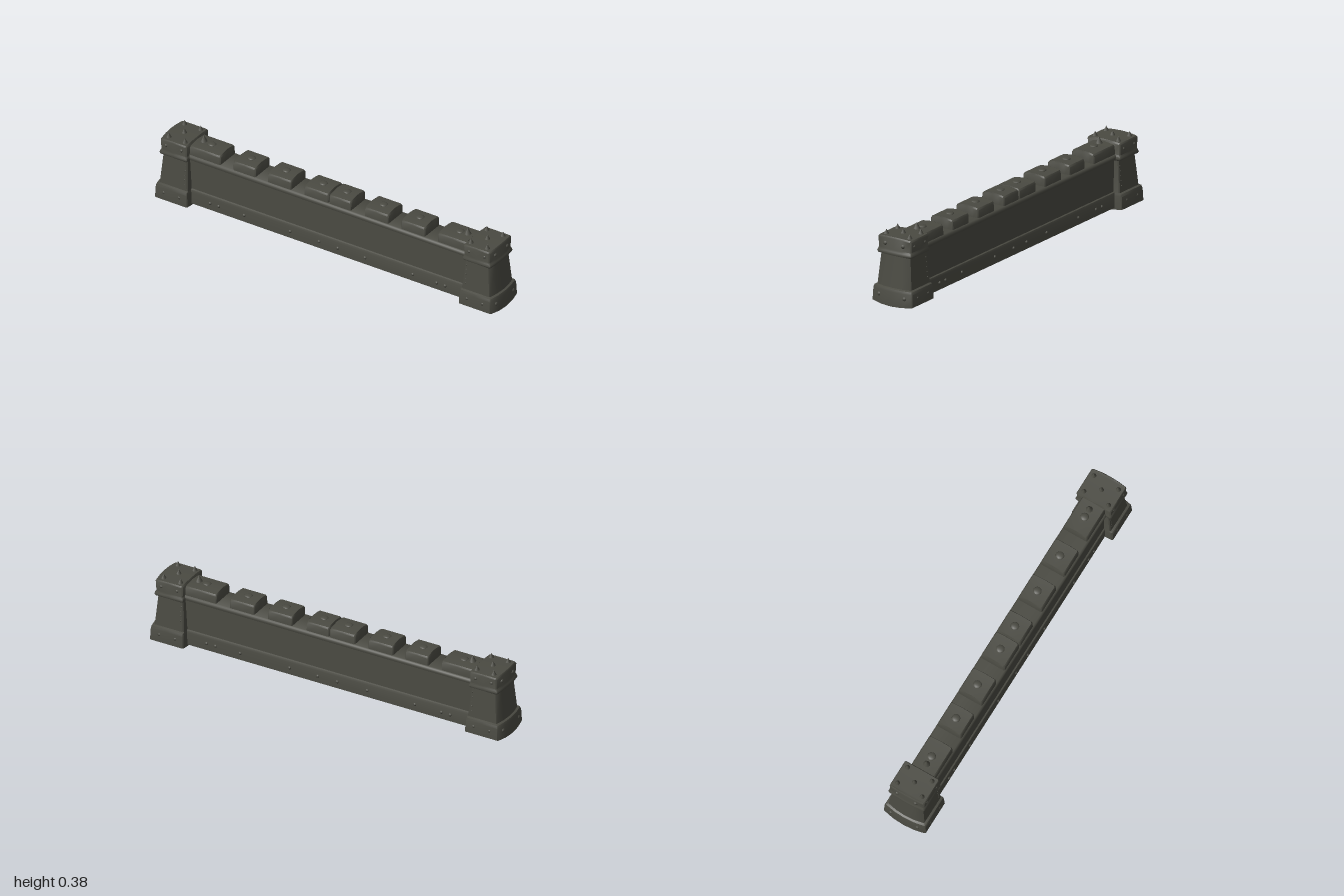
import * as THREE from 'three';
import { toCreasedNormals } from 'three/addons/utils/BufferGeometryUtils.js';

const stone = new THREE.MeshStandardMaterial({ color: 0x4a4a42, side: THREE.DoubleSide });
stone.name = 'dark stone';

function add(parent, name, geometry, x = 0, y = 0, z = 0) {
  const mesh = new THREE.Mesh(geometry, stone);
  mesh.name = name;
  mesh.position.set(x, y, z);
  parent.add(mesh);
  return mesh;
}

// Skin a list of equally long point rings
function loft(rings, closed) {
  const n = rings[0].length, index = [];
  for (let r = 0; r < rings.length - 1; r++) {
    for (let i = 0; i < (closed ? n : n - 1); i++) {
      const a = r * n + i, b = r * n + (i + 1) % n;
      index.push(a, b, b + n, a, b + n, a + n);
    }
  }
  const g = new THREE.BufferGeometry();
  g.setAttribute('position', new THREE.Float32BufferAttribute(rings.flat(2), 3));
  g.setIndex(index);
  return toCreasedNormals(g, 0.75);
}

// Chamfered rectangle; the ends bow outwards and the middle is raised or lowered
function ring([x0, x1, hz, y], bow = 0, lift = 0, c = 0.005) {
  const m = (x0 + x1) / 2, h = hz / 2, q = bow * 0.75;
  const pts = [[x1 + bow, 0], [x1 + q, -h], [x1, -hz + c], [x1 - c, -hz], [m, -hz], [x0 + c, -hz],
    [x0, -hz + c], [x0, -h], [x0, 0], [x0, h], [x0, hz - c], [x0 + c, hz], [m, hz],
    [x1 - c, hz], [x1, hz - c], [x1 + q, h]];
  return pts.map(([x, z]) => [x, y + lift * (1 - (z / hz) ** 2), z]);
}

const rivetShape = new THREE.SphereGeometry(0.01, 10, 8);
function rivet(parent, x, y, z, size = 1) {
  add(parent, 'rivet', rivetShape, x, y, z).scale.setScalar(size);
}

function makeTower(name) {
  const tower = new THREE.Group();
  tower.name = name;
  // plinth, tapering shaft, moulding and cap: inner x, outer x, half depth, height
  const levels = [
    [0.797, 0.987, 0.12, 0.01], [0.8, 0.984, 0.117, 0.075], [0.803, 0.98, 0.113, 0.088],
    [0.804, 0.97, 0.102, 0.092], [0.816, 0.958, 0.087, 0.253], [0.811, 0.969, 0.1, 0.257],
    [0.809, 0.972, 0.103, 0.265], [0.811, 0.969, 0.1, 0.275], [0.815, 0.964, 0.097, 0.284],
    [0.813, 0.967, 0.099, 0.338], [0.818, 0.962, 0.095, 0.346],
  ];
  const rings = levels.map((l, i) => ring(l, i < 4 ? 0.013 : 0.007, i === 0 ? -0.01 : i > 8 ? 0.005 : 0));
  // Roof ridge running between the inner and outer sides
  rings.push(rings.at(-1).map(([x]) => [x, 0.351, 0]));
  add(tower, 'tower body', loft(rings, true));

  // Spikes on the roof
  const spike = new THREE.ConeGeometry(0.018, 0.034, 8);
  for (const [x, z] of [[0.935, 0.07], [0.935, -0.07], [0.84, 0.07], [0.84, -0.07], [0.89, 0], [0.775, 0]])
    add(tower, 'spike', spike, x, z ? 0.355 : 0.358, z);

  // Rivets on the cap, plinth and shaft edges, sunk into the stone
  for (const s of [-1, 1]) {
    rivet(tower, 0.966, 0.312, 0.052 * s, 1.2);
    rivet(tower, 0.986, 0.05, 0.075 * s, 1.2);
    for (const x of [0.845, 0.935]) {
      rivet(tower, x, 0.312, 0.094 * s, 0.9);
      rivet(tower, x, 0.05, 0.113 * s, 0.9);
    }
    for (let i = 0; i < 5; i++) {
      const y = 0.125 + i * 0.025;
      rivet(tower, 0.825, y, (0.101 - (y - 0.092) * 0.09) * s, 0.35);
    }
  }
  return tower;
}

export function createModel() {
  const model = new THREE.Group();
  model.name = 'castle wall';

  const left = makeTower('leftTower');
  const right = makeTower('rightTower');
  right.rotation.y = Math.PI;
  model.add(left, right);

  // Curtain wall: plinth, recessed face and cornice, open underneath
  const half = [[0.077, 0.014], [0.075, 0.08], [0.072, 0.09], [0.065, 0.093], [0.062, 0.255],
    [0.073, 0.259], [0.076, 0.268], [0.074, 0.279], [0.066, 0.285]];
  const section = [...half, ...half.slice().reverse().map(([z, y]) => [-z, y])];
  add(model, 'curtain wall', loft([0.82, -0.82].map(x => section.map(([z, y]) => [x, y, z])), false));

  // Merlons with tops rounded over from front to back
  const spans = [[-0.82, -0.635], [-0.56, -0.43], [-0.36, -0.22], [-0.145, -0.002],
    [0.002, 0.13], [0.21, 0.35], [0.425, 0.565], [0.64, 0.82]];
  for (const [a, b] of spans) {
    const rings = [
      ring([a, b, 0.067, 0.28]), ring([a, b, 0.066, 0.325], 0, 0.008),
      ring([a + 0.004, b - 0.004, 0.061, 0.334], 0, 0.007),
    ];
    rings.push(rings[2].map(([x]) => [x, 0.342, 0]));
    add(model, 'merlon', loft(rings, true));
    add(model, 'merlon boss', rivetShape, (a + b) / 2, 0.34, 0).scale.set(2.2, 0.8, 2.2);
  }

  // Rivets along the plinth
  for (const s of [-1, 1])
    for (const x of [-0.69, -0.64, -0.49, -0.22, -0.05, 0.06, 0.22, 0.5, 0.64, 0.69])
      rivet(model, x, 0.05, 0.074 * s, 0.9);

  return model;
}
